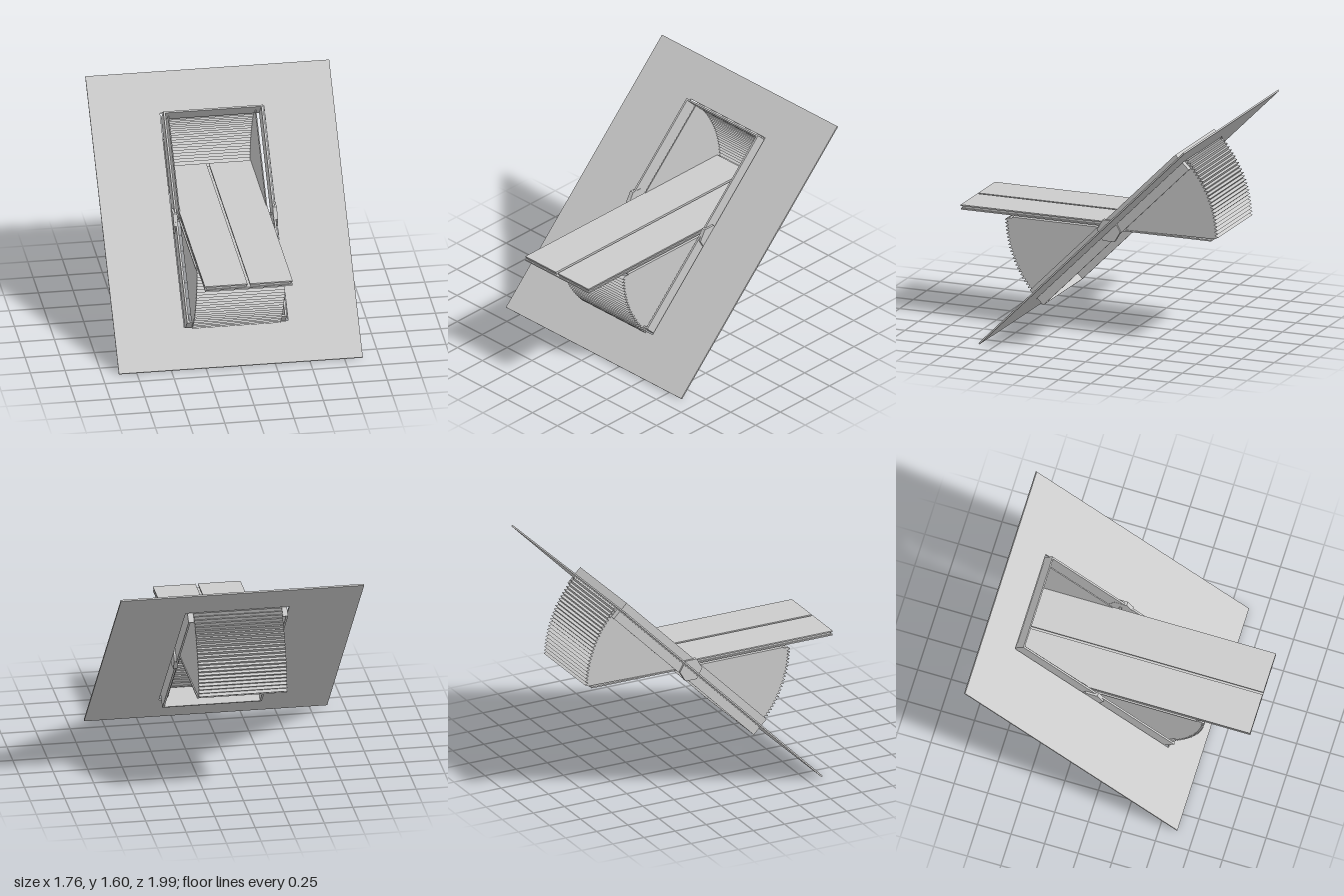
import * as THREE from 'three';

const PIVOT = [0, 0.8, -0.167];
const TILT = 0.783; // slope of the panel

const mat = new THREE.MeshStandardMaterial({ color: 0xcccccc, flatShading: true, side: THREE.DoubleSide });

function add(parent, name, geometry, x = 0, y = 0, z = 0) {
  const mesh = new THREE.Mesh(geometry, mat);
  mesh.name = name;
  mesh.position.set(x, y, z);
  parent.add(mesh);
  return mesh;
}

const box = (w, h, d) => new THREE.BoxGeometry(w, h, d);

// Extrudes a shape drawn in the (z, y) plane across x, centred on x
function extrudeAcross(shape, width, x = 0) {
  const g = new THREE.ExtrudeGeometry(shape, { depth: width, bevelEnabled: false });
  return g.rotateY(-Math.PI / 2).translate(x + width / 2, 0, 0);
}

// Sawtooth arc between the level floor and the sloping panel
function pleatPoints(inner, outer, teeth) {
  const start = Math.PI - 0.012, end = Math.PI - TILT;
  const pts = [];
  for (let i = 0; i <= teeth * 2; i++) {
    const a = start + (end - start) * i / (teeth * 2);
    const r = i % 2 ? outer : inner;
    pts.push(new THREE.Vector2(Math.cos(a) * r, Math.sin(a) * r));
  }
  return pts;
}

// Quarter-like hood: two sector cheeks and a pleated curved wall
function makeHood(name) {
  const hood = new THREE.Group();
  hood.name = name;
  const outer = pleatPoints(0.8, 0.826, 24);
  const inner = pleatPoints(0.792, 0.818, 24);
  add(hood, 'pleatedWall', extrudeAcross(new THREE.Shape([...outer, ...inner.reverse()]), 0.636));
  const cheek = new THREE.Shape([new THREE.Vector2(0, 0), ...outer]);
  for (const s of [-1, 1]) add(hood, 'sideCheek', extrudeAcross(cheek, 0.008, s * 0.315));
  return hood;
}

export function createModel() {
  const model = new THREE.Group();
  model.name = 'pivotingHatch';

  // Sloping panel with a rectangular opening, and the frame inside it
  const sloped = new THREE.Group();
  sloped.name = 'slopedAssembly';
  sloped.position.set(...PIVOT);
  sloped.rotation.x = -TILT;
  model.add(sloped);

  const rect = (path, w, h) => path.moveTo(-w, -h).lineTo(w, -h).lineTo(w, h).lineTo(-w, h).closePath();
  const panel = rect(new THREE.Shape(), 0.88, 1.122);
  panel.holes.push(rect(new THREE.Path(), 0.375, 0.81));
  add(sloped, 'wallPanel', new THREE.ExtrudeGeometry(panel, { depth: 0.012, bevelEnabled: false }), 0, 0, -0.006);

  const frame = rect(new THREE.Shape(), 0.36, 0.797);
  frame.holes.push(rect(new THREE.Path(), 0.346, 0.785));
  add(sloped, 'innerFrame', new THREE.ExtrudeGeometry(frame, { depth: 0.145, bevelEnabled: false }), 0, 0, -0.0725);

  // Hoods above and below the tray, half a turn apart
  for (const [name, turn] of [['upperHood', 0], ['lowerHood', Math.PI]]) {
    const hood = makeHood(name);
    hood.position.set(...PIVOT);
    hood.rotation.x = turn;
    model.add(hood);
  }

  // Level tray turning on the pivot
  add(model, 'tray', box(0.65, 0.01, 1.54), 0, 0.796, -0.17);

  // Layered sliding board with a centre seam in its top
  const board = new THREE.Group();
  board.name = 'slidingBoard';
  model.add(board);
  const back = -0.94, front = 1.0, length = front - back, mid = (front + back) / 2;
  add(board, 'lowerBoard', box(0.632, 0.01, length), 0, 0.815, mid);
  for (const s of [-1, 1]) {
    add(board, 'boardCore', box(0.29, 0.016, length - 0.02), s * 0.16, 0.828, mid);
    add(board, 'upperBoard', box(0.308, 0.01, length), s * 0.163, 0.841, mid);
  }

  // Hexagonal pivot bosses, each with an axle reaching the tray
  for (const s of [-1, 1]) {
    const boss = new THREE.CylinderGeometry(0.09, 0.09, 0.03, 6);
    add(model, 'pivotBoss', boss.rotateZ(Math.PI / 2), s * 0.36, PIVOT[1] - 0.003, PIVOT[2]);
    const axle = new THREE.CylinderGeometry(0.01, 0.01, 0.04, 8);
    add(model, 'axle', axle.rotateZ(Math.PI / 2), s * 0.335, PIVOT[1], PIVOT[2]);
  }

  return model;
}
